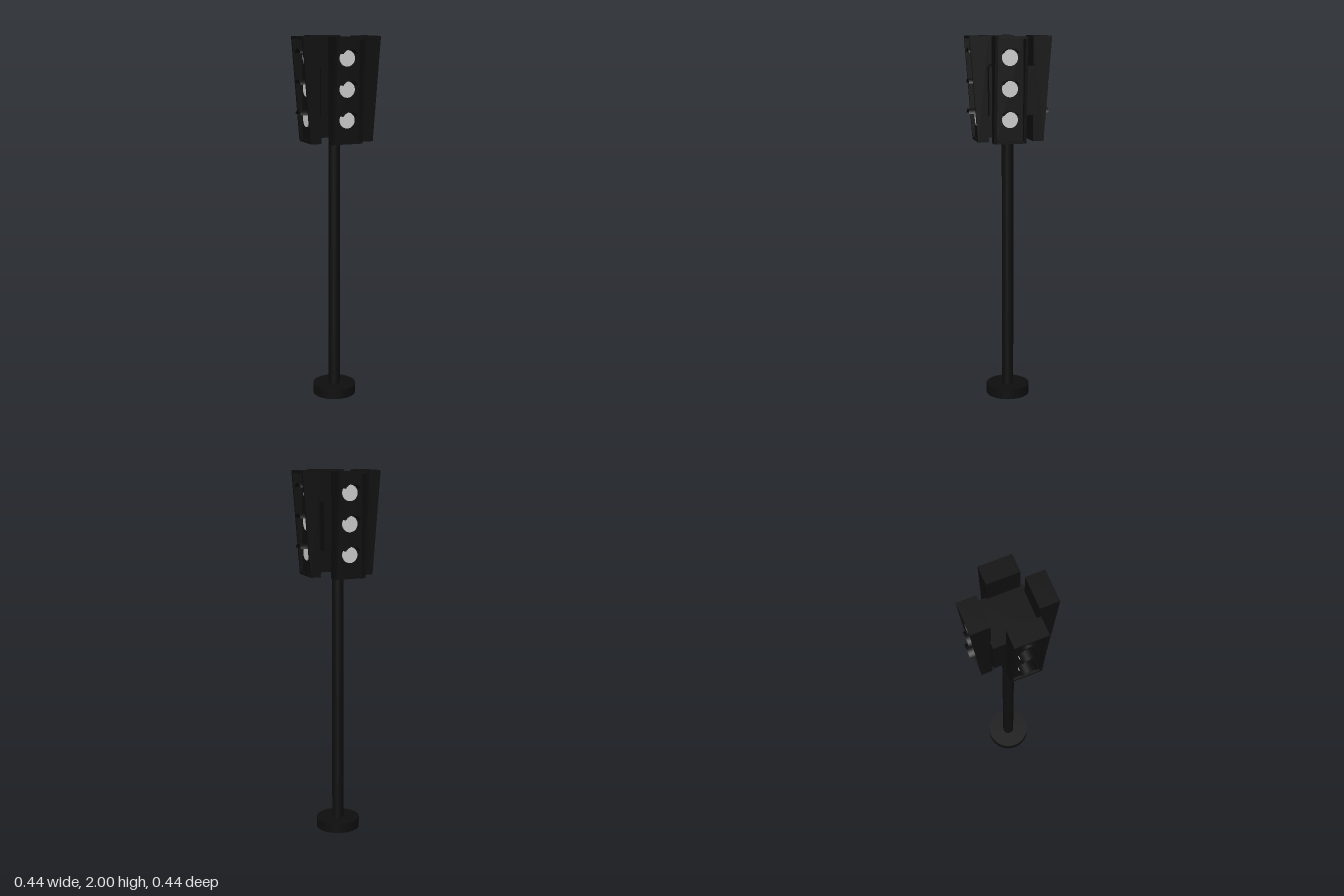
import * as THREE from 'three';

const black = new THREE.MeshStandardMaterial({ color: 0x0e0e0e });
const blackThin = new THREE.MeshStandardMaterial({ color: 0x0e0e0e, side: THREE.DoubleSide });
const grey = new THREE.MeshStandardMaterial({ color: 0xcccccc });

const BOTTOM = 1.445, TOP = 2, HALF = 0.086, BACK = 0.12, FACE = 0.165, WALL = 0.014;

function add(parent, name, geometry, material, x = 0, y = 0, z = 0) {
  const mesh = new THREE.Mesh(geometry, material);
  mesh.name = name;
  mesh.position.set(x, y, z);
  parent.add(mesh);
  return mesh;
}

// One signal head facing +z: a recessed panel inside a rim that leans outward
function createHead(name) {
  const head = new THREE.Group();
  head.name = name;
  const height = TOP - BOTTOM, middle = (TOP + BOTTOM) / 2;
  add(head, 'panel', new THREE.BoxGeometry(2 * (HALF - WALL), height - 0.01, FACE - BACK),
    black, 0, middle, (BACK + FACE) / 2);

  // Tapered side walls; the profile is drawn in (-z, y) and turned to face z
  const profile = new THREE.Shape([
    [-0.178, BOTTOM], [-BACK, BOTTOM], [-BACK, TOP], [-0.221, TOP],
  ].map(([a, b]) => new THREE.Vector2(a, b)));
  const wall = new THREE.ExtrudeGeometry(profile, { depth: WALL, bevelEnabled: false });
  wall.rotateY(Math.PI / 2);
  add(head, 'leftWall', wall, black, HALF - WALL);
  add(head, 'rightWall', wall, black, -HALF);

  // Top and bottom of the rim
  add(head, 'topWall', new THREE.BoxGeometry(2 * HALF, WALL, 0.1), black, 0, TOP - WALL / 2, BACK + 0.05);
  add(head, 'bottomWall', new THREE.BoxGeometry(2 * HALF, WALL, 0.058), black, 0, BOTTOM + WALL / 2, BACK + 0.029);

  // Three lamps, each under a curved visor
  for (const y of [1.57, 1.73, 1.89]) {
    const lens = new THREE.CylinderGeometry(0.042, 0.042, 0.01, 32).rotateX(Math.PI / 2);
    add(head, 'lens', lens, grey, 0, y, FACE + 0.003);
    const visor = new THREE.CylinderGeometry(0.048, 0.048, 0.055, 16, 1, true, Math.PI - 1.05, 2.1);
    visor.rotateX(Math.PI / 2);
    add(head, 'visor', visor, blackThin, 0, y, FACE + 0.0245);
  }
  return head;
}

export function createModel() {
  const model = new THREE.Group();
  model.name = 'trafficLight';

  // Foot and pole
  add(model, 'base', new THREE.CylinderGeometry(0.12, 0.12, 0.055, 32), black, 0, 0.0275, 0);
  add(model, 'pole', new THREE.CylinderGeometry(0.032, 0.032, 1.6, 24), black, 0, 0.85, 0);

  // Block that carries the four heads
  add(model, 'mountingBlock', new THREE.BoxGeometry(0.254, 0.255, 0.254), black, 0.001, 1.7175, -0.001);

  // Heads on all four sides; the side pair sits slightly forward
  ['frontHead', 'leftHead', 'backHead', 'rightHead'].forEach((name, i) => {
    const head = createHead(name);
    head.rotation.y = i * Math.PI / 2;
    if (i % 2) head.position.z = 0.025;
    else head.position.x = 0.002;
    model.add(head);
  });
  return model;
}
